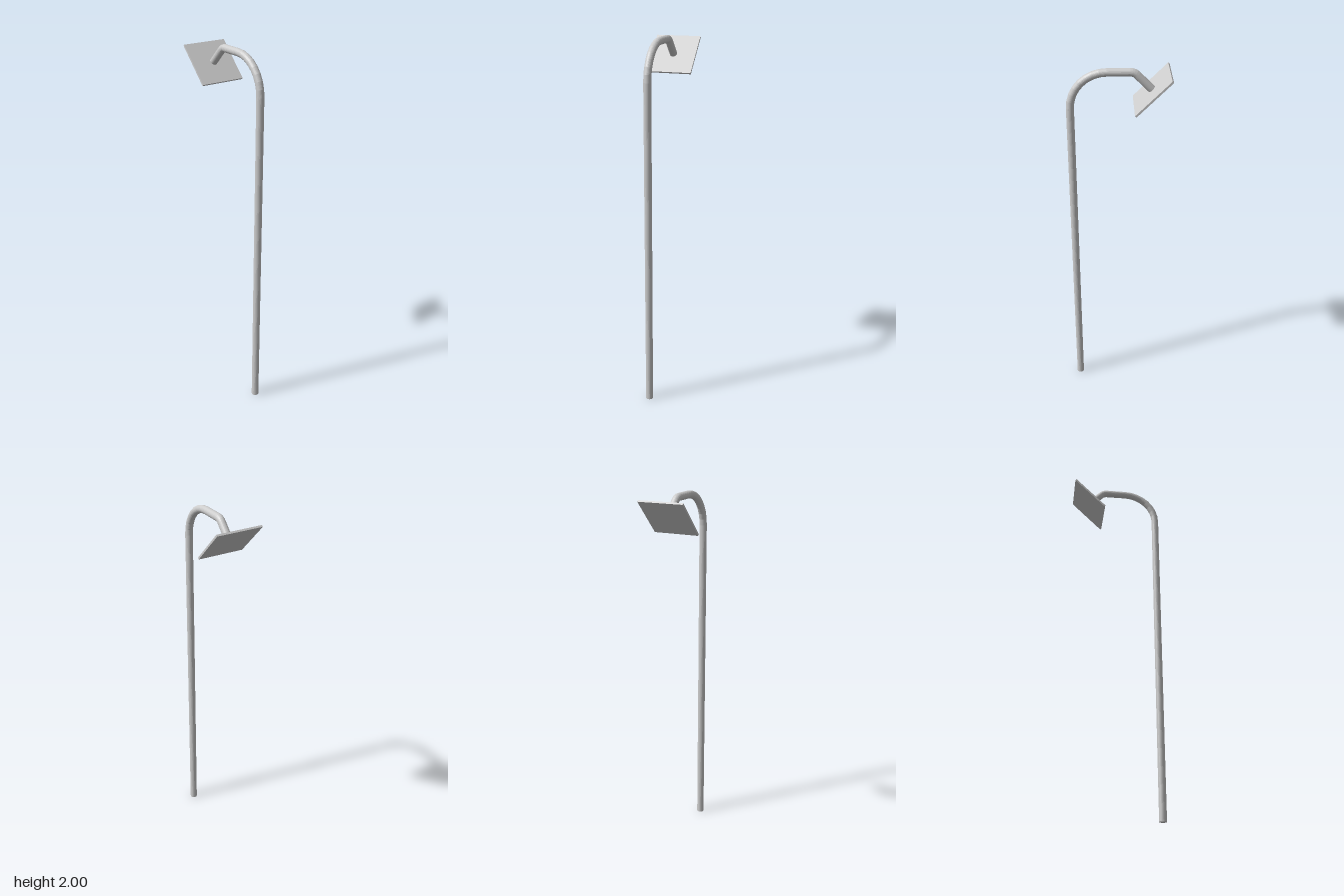
import * as THREE from 'three';

const RADIUS = 0.02, SIDES = 24;
const POLE_Z = 0.237, TOP_Y = 1.98;

// Path through exact stations, each with its own tangent
class StationCurve extends THREE.Curve {
  constructor(stations) { super(); this.stations = stations; }
  at(u) { return this.stations[Math.round(u * (this.stations.length - 1))]; }
  getPointAt(u, target = new THREE.Vector3()) { return target.copy(this.at(u).point); }
  getTangentAt(u, target = new THREE.Vector3()) { return target.copy(this.at(u).tangent); }
  getPoint(u, target) { return this.getPointAt(u, target); }
  getTangent(u, target) { return this.getTangentAt(u, target); }
}

// Station at (y, z); angle 0 heads up, 90 heads back, 135 heads back and down
function station(y, z, degrees) {
  const a = THREE.MathUtils.degToRad(degrees);
  return {
    point: new THREE.Vector3(0, y, z),
    tangent: new THREE.Vector3(0, Math.cos(a), -Math.sin(a)),
  };
}

// Circular bend in the y-z plane that starts at (y, z)
function bend(y, z, radius, from, to, steps) {
  const out = [];
  const a0 = THREE.MathUtils.degToRad(from);
  for (let i = 0; i <= steps; i++) {
    const deg = from + (to - from) * i / steps;
    const a = THREE.MathUtils.degToRad(deg);
    out.push(station(
      y + radius * (Math.sin(a) - Math.sin(a0)),
      z + radius * (Math.cos(a) - Math.cos(a0)), deg));
  }
  return out;
}

export function createModel() {
  const group = new THREE.Group();
  const material = new THREE.MeshStandardMaterial({ color: 0xcccccc, flatShading: true });
  const add = (name, geometry) => {
    const mesh = new THREE.Mesh(geometry, material);
    mesh.name = name;
    group.add(mesh);
    return mesh;
  };

  // Pole, large crook, level arm, small bend and neck as one tube
  const crook = 0.183;
  const stations = [
    station(0, POLE_Z, 0),
    ...bend(TOP_Y - crook, POLE_Z, crook, 0, 90, 8),
    ...bend(TOP_Y, -0.058, 0.048, 90, 135, 4),
    station(1.893, -0.165, 135),
  ];
  add('pole', new THREE.TubeGeometry(
    new StationCurve(stations), stations.length - 1, RADIUS, SIDES, false));

  // Closed foot of the pole
  const foot = add('poleFoot', new THREE.CircleGeometry(RADIUS, SIDES));
  foot.rotation.x = Math.PI / 2;
  foot.position.z = POLE_Z;

  // Square head plate, tilted to face up and forward
  const plate = add('headPlate', new THREE.BoxGeometry(0.246, 0.01, 0.245));
  plate.position.set(0, 1.89, -0.168);
  plate.rotation.x = Math.PI / 4;

  return group;
}
